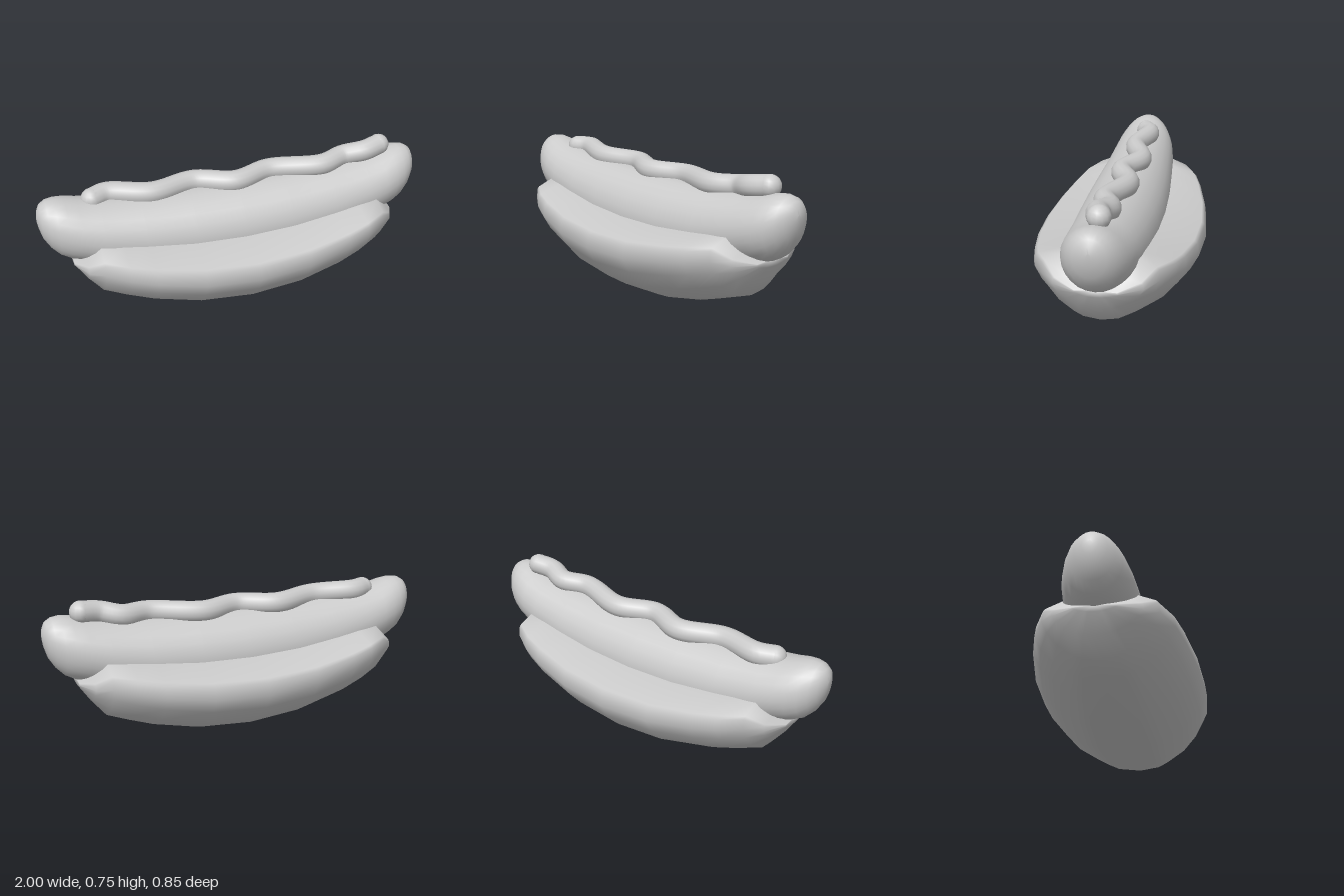
import * as THREE from 'three';

const material = new THREE.MeshStandardMaterial({ color: 0xcccccc });

// Skin a list of closed rings; each ring runs top -> +z -> bottom -> -z, rings run along +x
function loft(rings) {
  const n = rings[0].length;
  const index = [];
  for (let i = 0; i < rings.length - 1; i++) {
    for (let j = 0; j < n; j++) {
      const k = (j + 1) % n;
      const a = i * n + j, b = i * n + k, c = a + n, d = b + n;
      index.push(a, b, c, b, d, c);
    }
  }
  // End caps
  const last = (rings.length - 1) * n;
  for (let j = 1; j < n - 1; j++) {
    index.push(0, j + 1, j);
    index.push(last, last + j, last + j + 1);
  }
  const geometry = new THREE.BufferGeometry();
  geometry.setAttribute('position', new THREE.Float32BufferAttribute(rings.flat(2), 3));
  geometry.setIndex(index);
  geometry.computeVertexNormals();
  return geometry;
}

// Stations for x >= 0 repeated at -x
function mirrored(stations) {
  const left = stations.slice(1).reverse().map(([x, ...rest]) => [-x, ...rest]);
  return [...left, ...stations];
}

function part(name, geometry) {
  const mesh = new THREE.Mesh(geometry, material);
  mesh.name = name;
  return mesh;
}

function makeBun() {
  // Half profile from rim to bottom: [fraction of half width, fraction of height]
  const profile = [[0.94, 0.89], [0.98, 0.85], [1, 0.69], [0.9, 0.5], [0.71, 0.28], [0.45, 0.11], [0.3, 0.04]];
  // x, bottom, top, half width, inner rim z
  const stations = mirrored([
    [0, 0.005, 0.42, 0.425, 0.2],
    [0.27, 0.025, 0.428, 0.408, 0.195],
    [0.5, 0.078, 0.45, 0.365, 0.185],
    [0.62, 0.12, 0.465, 0.33, 0.18],
    [0.73, 0.16, 0.475, 0.27, 0.17],
    [0.8, 0.25, 0.41, 0.205, 0.14],
    [0.855, 0.335, 0.367, 0.1, 0.06],
  ]);
  return loft(stations.map(([x, bottom, top, w, inner]) => {
    const half = [[inner, top], ...profile.map(([u, v]) => [u * w, bottom + v * (top - bottom)])];
    return [
      [x, top, 0],
      ...half.map(([z, y]) => [x, y, z]),
      [x, bottom, 0],
      ...half.reverse().map(([z, y]) => [x, y, -z]),
    ];
  }));
}

function makeSausage() {
  // x, bottom, top, half width
  const stations = mirrored([
    [0, 0.2, 0.617, 0.212],
    [0.25, 0.21, 0.619, 0.207],
    [0.5, 0.245, 0.627, 0.193],
    [0.7, 0.305, 0.644, 0.178],
    [0.8, 0.345, 0.66, 0.165],
    [0.86, 0.363, 0.677, 0.15],
    [0.91, 0.39, 0.684, 0.131],
    [0.95, 0.433, 0.68, 0.106],
    [0.98, 0.485, 0.663, 0.074],
    [0.995, 0.54, 0.633, 0.038],
    [1, 0.575, 0.605, 0.012],
  ]);
  const sides = 24;
  return loft(stations.map(([x, bottom, top, w]) =>
    Array.from({ length: sides }, (_, j) => {
      const a = (j / sides) * Math.PI * 2;
      return [x, (top + bottom) / 2 + Math.cos(a) * (top - bottom) / 2, Math.sin(a) * w];
    })));
}

function makeSauce() {
  const group = new THREE.Group();
  group.name = 'sauce';
  const radius = 0.055;
  const points = [
    [-0.725, 0.645, -0.015], [-0.65, 0.648, -0.045], [-0.43, 0.637, 0.005], [-0.2, 0.632, -0.055],
    [0, 0.632, 0.016], [0.2, 0.634, -0.046], [0.47, 0.648, 0.02], [0.61, 0.658, -0.023],
    [0.72, 0.682, 0.006], [0.81, 0.696, -0.012],
  ].map((p) => new THREE.Vector3(...p));
  const curve = new THREE.CatmullRomCurve3(points);
  group.add(part('sauceStrip', new THREE.TubeGeometry(curve, 80, radius, 14)));
  // Rounded tips
  for (const p of [points[0], points[points.length - 1]]) {
    const tip = part('sauceTip', new THREE.SphereGeometry(radius, 14, 10));
    tip.position.copy(p);
    group.add(tip);
  }
  return group;
}

export function createModel() {
  const model = new THREE.Group();
  model.name = 'hotDog';
  model.add(part('bun', makeBun()), part('sausage', makeSausage()), makeSauce());
  return model;
}
